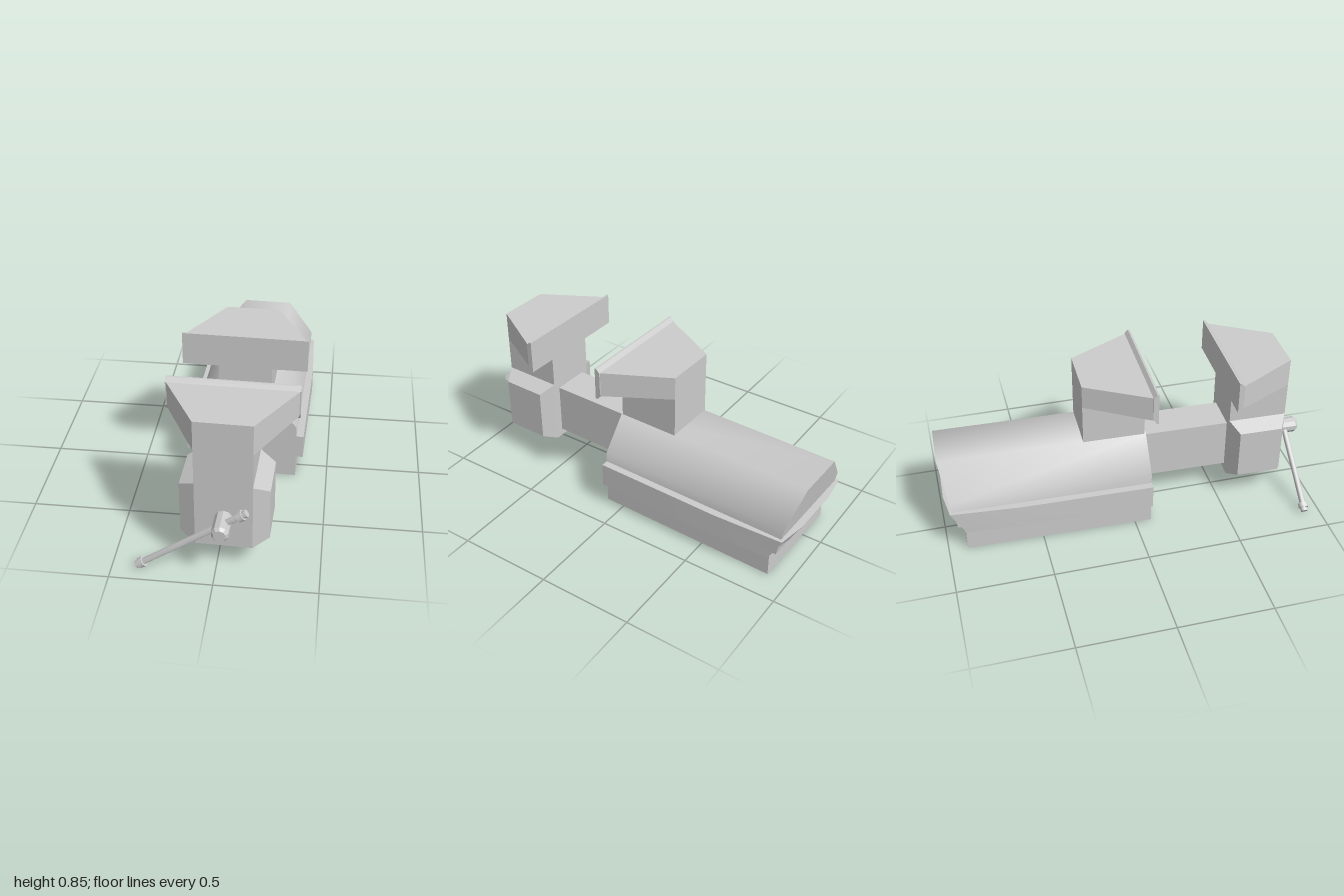
import * as THREE from 'three';
import { toCreasedNormals } from 'three/addons/utils/BufferGeometryUtils.js';

const grey = new THREE.MeshStandardMaterial({ color: 0xcccccc });

export function createModel() {
  const model = new THREE.Group();
  model.name = 'benchVise';
  // the vise stands slightly turned about the vertical
  const vise = new THREE.Group();
  vise.name = 'vise';
  vise.rotation.y = -0.025;
  vise.position.x = 0.058;
  model.add(vise);

  const add = (name, geometry, crease = 0.4, parent = vise) => {
    const mesh = new THREE.Mesh(toCreasedNormals(geometry, crease), grey);
    mesh.name = name;
    parent.add(mesh);
    return mesh;
  };
  // box from its limits on each axis
  const box = (x0, x1, y0, y1, z0, z1) =>
    new THREE.BoxGeometry(x1 - x0, y1 - y0, z1 - z0)
      .translate((x0 + x1) / 2, (y0 + y1) / 2, (z0 + z1) / 2);
  const extrude = (pts, depth) =>
    new THREE.ExtrudeGeometry(new THREE.Shape(pts.map(p => new THREE.Vector2(...p))),
      { depth, bevelEnabled: false });
  // half outline mirrored across x = 0
  const mirrored = half => [...half, ...half.map(([x, y]) => [-x, y]).reverse()];
  // plan outline of [x, z] points raised from y0 to y1
  const plan = (half, y0, y1) =>
    extrude(mirrored(half).map(([x, z]) => [x, -z]), y1 - y0)
      .rotateX(-Math.PI / 2).translate(0, y0, 0);
  const bend = (geometry, rule) => {
    const p = geometry.attributes.position;
    const v = new THREE.Vector3();
    for (let i = 0; i < p.count; i++) {
      rule(v.fromBufferAttribute(p, i));
      p.setXYZ(i, v.x, v.y, v.z);
    }
    return geometry;
  };

  // rear body: base, rounded-off housing with sloping back, and flange
  add('base', box(-0.275, 0.275, 0, 0.16, -0.895, 0.095));
  const housing = extrude(mirrored([[0.275, 0.15], [0.275, 0.31], [0.135, 0.485]]), 1.045)
    .translate(0, 0, -0.95);
  add('housing', bend(housing, v => {
    if (v.z < -0.5) v.z -= (v.y - 0.25) * 0.2;
  }), 0.95);
  const flange = plan([[0.313, 0.095], [0.313, -0.6], [0.292, -0.965], [0.14, -0.988]], 0.125, 0.255);
  add('flange', bend(flange, v => {
    if (v.z < -0.8 && v.y < 0.2) v.z += 0.07;
  }));

  // jaws: a column, a trapezoid head and a flared face plate
  const jaw = (name, back, front, plateFace, dir, lowBack, lowFront) => {
    const group = new THREE.Group();
    group.name = name;
    vise.add(group);
    add('column', box(-0.138, 0.138, 0.45, 0.824, Math.min(back, front), Math.max(back, front)), 0.4, group);
    const head = plan([[0.138, back], [0.315, front]], 0.67, 0.825);
    if (dir < 0) { /* outline order is fixed by ExtrudeGeometry for either direction */ }
    add('head', bend(head, v => {
      if (v.y < 0.75) v.y = Math.abs(v.z - back) < 0.01 ? lowBack : lowFront;
    }), 0.4, group);
    const profile = [[0, 0.67], [0, 0.845], [-0.01, 0.845], [-0.028, 0.825], [-0.028, 0.7], [-0.01, 0.67]];
    // profile x becomes z, extrusion runs along x
    const plate = extrude(profile.map(([z, y]) => [-z * dir, y]), 0.64)
      .rotateY(Math.PI / 2).translate(-0.32, 0, 0);
    bend(plate, v => { v.z += plateFace; });
    add('facePlate', plate, 0.4, group);
  };
  jaw('rearJaw', -0.24, 0.088, 0.114, 1, 0.7, 0.69);
  jaw('frontJaw', 0.865, 0.555, 0.528, -1, 0.67, 0.69);

  // moving block: core with a tapered cheek on each side
  add('movingBlock', box(-0.138, 0.138, 0.13, 0.485, 0.555, 0.865));
  for (const side of [-1, 1]) {
    const cheek = box(-0.0385, 0.0385, 0.13, 0.485, 0.555, 0.865);
    bend(cheek, v => {
      if (v.x * side > 0) {
        v.y = v.y > 0.3 ? 0.445 : 0.17;
        v.z = v.z > 0.7 ? 0.825 : 0.595;
      }
      v.x += side * 0.1765;
    });
    add(side > 0 ? 'leftCheek' : 'rightCheek', cheek);
  }
  add('slideBar', box(-0.098, 0.098, 0.17, 0.445, 0, 0.6));

  // screw head with tapered end
  const screw = new THREE.LatheGeometry(
    [[0, 0.84], [0.043, 0.84], [0.043, 0.985], [0.031, 1.0], [0, 1.0]]
      .map(p => new THREE.Vector2(...p)), 10)
    .rotateX(Math.PI / 2).translate(0.001, 0.298, 0);
  add('screw', screw);

  // sliding handle with a stepped knob at each end
  const r = 0.016, e = 0.325;
  const handle = new THREE.LatheGeometry(
    [[0, -e], [0.019, -e], [0.019, -e + 0.02], [0.027, -e + 0.02], [0.027, -e + 0.046], [r, -e + 0.046],
      [r, e - 0.046], [0.027, e - 0.046], [0.027, e - 0.02], [0.019, e - 0.02], [0.019, e], [0, e]]
      .map(p => new THREE.Vector2(...p)), 10);
  const bar = add('handle', handle, 0.7);
  bar.rotation.z = -Math.PI / 2 + 0.613;
  bar.position.set(-0.149, 0.2, 0.925);

  return model;
}
